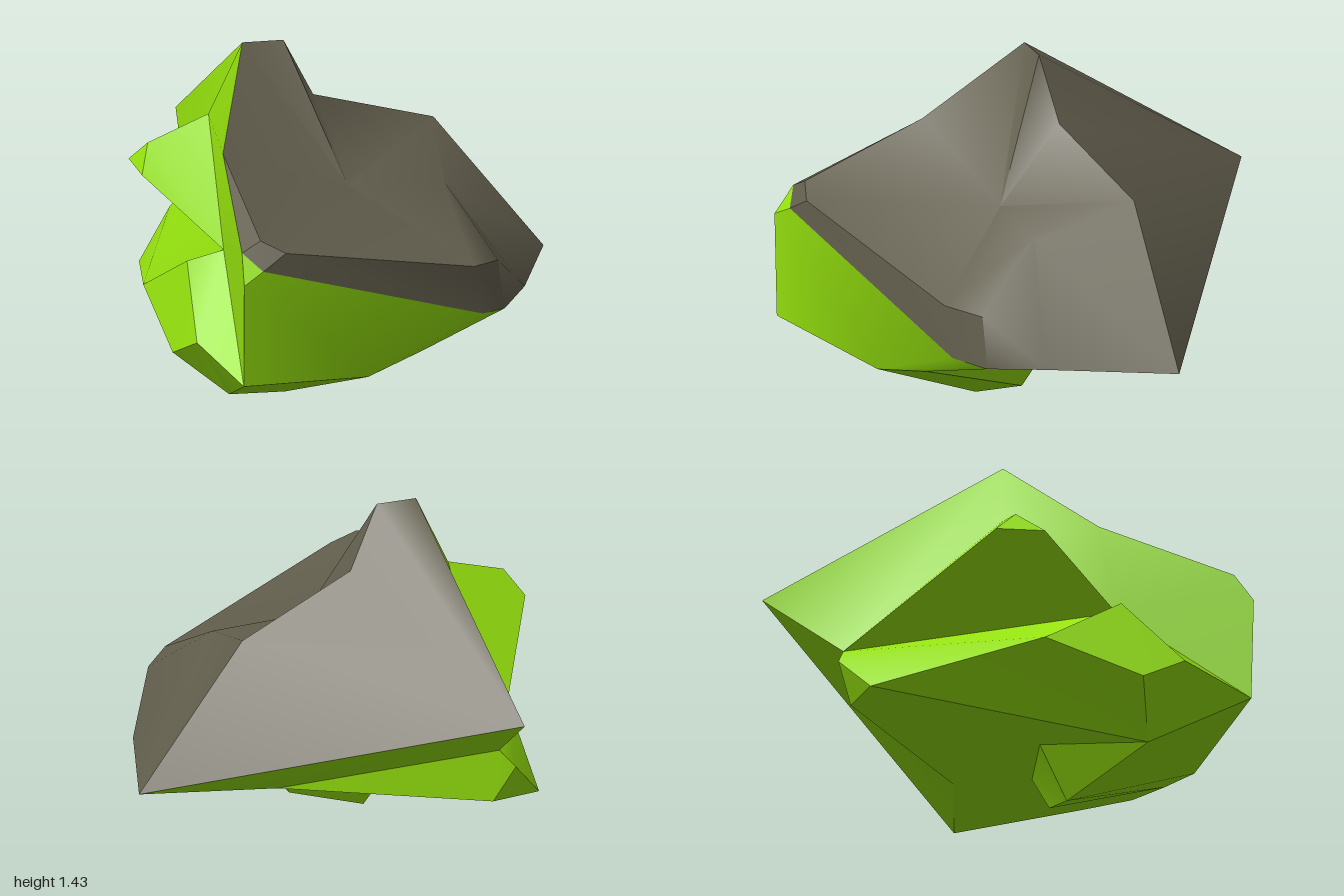
import * as THREE from 'three';
import { toCreasedNormals } from 'three/addons/utils/BufferGeometryUtils.js';

const stone = new THREE.MeshStandardMaterial({ color: 0x635f4e });
stone.name = 'grey stone';
const moss = new THREE.MeshStandardMaterial({ color: 0x94e00e });
moss.name = 'bright green';

// corners of the cap: ridge and tips, hollow of the front slope, bevel, lower rim
const cap = {
  A: [-0.41, 1.43, -0.02], B: [-0.24, 1.43, -0.02], C: [-0.11, 1.17, -0.06],
  D: [0.41, 0.99, -0.19], E: [0.87, 0.39, -0.215], F: [-0.51, 0.79, -1],
  G: [-0.56, 1.1, 0.37], I: [0.38, 0.865, 0.23], P: [-0.02, 0.88, 0.23],
  H1: [-0.58, 0.875, 0.92], H2: [-0.5, 0.915, 0.9], H3: [-0.4, 0.865, 0.93], H4: [-0.5, 0.805, 0.965],
  J1: [0.43, 0.645, 0.64], J2: [0.55, 0.62, 0.52],
  K1: [0.47, 0.43, 0.62], K2: [0.58, 0.405, 0.51], K3: [0.7, 0.415, 0.3],
};

// corners of the body: front, left lower lump, left upper lump, underside
const body = {
  P1: [-0.585, 0.76, 1], P2: [-0.585, 0.32, 0.99], P3: [-0.03, 0.24, 0.76], P4: [0.22, 0.295, 0.64],
  L: [-0.85, 0.47, 0.15], Y: [-0.725, 0.68, 0.46], W: [-0.73, 0.42, 0.72], V: [-0.8, 0.32, 0.55],
  X: [-0.57, 0.13, 0.57], Z: [-0.57, 0.71, 0.44],
  U1: [-0.81, 1.04, 0.03], U2: [-0.55, 1.13, -0.02], U3: [-0.875, 0.945, -0.05], U4: [-0.855, 0.945, 0.15],
  Q: [-0.525, 0.555, -0.67], R: [-0.59, 0.48, -0.69], S: [-0.74, 0.3, -0.56], T: [-0.51, 0.32, -0.64],
  N: [0.27, 0.33, -0.22], M1: [0.15, 0.295, 0.1], M2: [0.07, 0.13, 0.17], M3: [-0.37, 0.21, 0.13],
  O: [-0.28, 0, 0.24],
};
const points = { ...cap, ...body };

// each face is a loop of corner names, filled as a fan from its first corner;
// folds sharper than the crease angle stay hard
function facets(name, material, crease, faces) {
  const positions = [];
  for (const face of faces) {
    const loop = face.split(' ').map((key) => points[key]);
    for (let i = 1; i < loop.length - 1; i++) positions.push(...loop[0], ...loop[i], ...loop[i + 1]);
  }
  const geometry = new THREE.BufferGeometry();
  geometry.setAttribute('position', new THREE.Float32BufferAttribute(positions, 3));
  const mesh = new THREE.Mesh(toCreasedNormals(geometry, crease), material);
  mesh.name = name;
  return mesh;
}

export function createModel() {
  const group = new THREE.Group();
  group.name = 'rock';

  group.add(facets('capFront', stone, 0.9, [
    'P I D C B A G',                              // steep slope up to the ridge
    'P G H2 H3 J1 I', 'I J1 J2',                  // gentle front slope
    'I J2 K3 E D', 'J2 K2 K3',                    // right slope
  ]));
  group.add(facets('capBack', stone, 1.2, ['F A B C D E']));
  group.add(facets('capRim', stone, 0.6, [
    'H3 H4 K1 J1', 'J1 K1 K2 J2',                 // bevel
    'H2 H1 H4 H3', 'G H1 H2',                     // chipped front corner
  ]));

  group.add(facets('frontFace', moss, 0.9, ['P3 P4 K2 K1 H4 P1 P2']));
  group.add(facets('leftWall', moss, 1, ['H1 G Z P1', 'G U2 Z', 'G A U2', 'A F Q U2', 'Z P2 P1']));
  group.add(facets('upperLump', moss, 0.4, [
    'U2 Q U3 U1', 'U1 U3 U4',                     // top
    'Z U2 U1 U4', 'Q Z U4 U3',                    // front and underside
  ]));
  group.add(facets('lowerLump', moss, 0.5, [
    'L Y Z Q R', 'L R S X V', 'Y L V W',
    'Z Y W P2', 'W V X P2', 'H1 P1 H4',
  ]));

  group.add(facets('backAndUnderside', moss, 0.5, [
    'F E N Q', 'Q N T R', 'R T S',                // back
    'N E K3 K2 P4 M1', 'M3 X S T N M1',           // undersides
    'M1 P4 M2', 'M1 M2 O M3', 'M3 O X',           // foot
    'O M2 P4 P3 P2 X',
  ]));

  return group;
}
